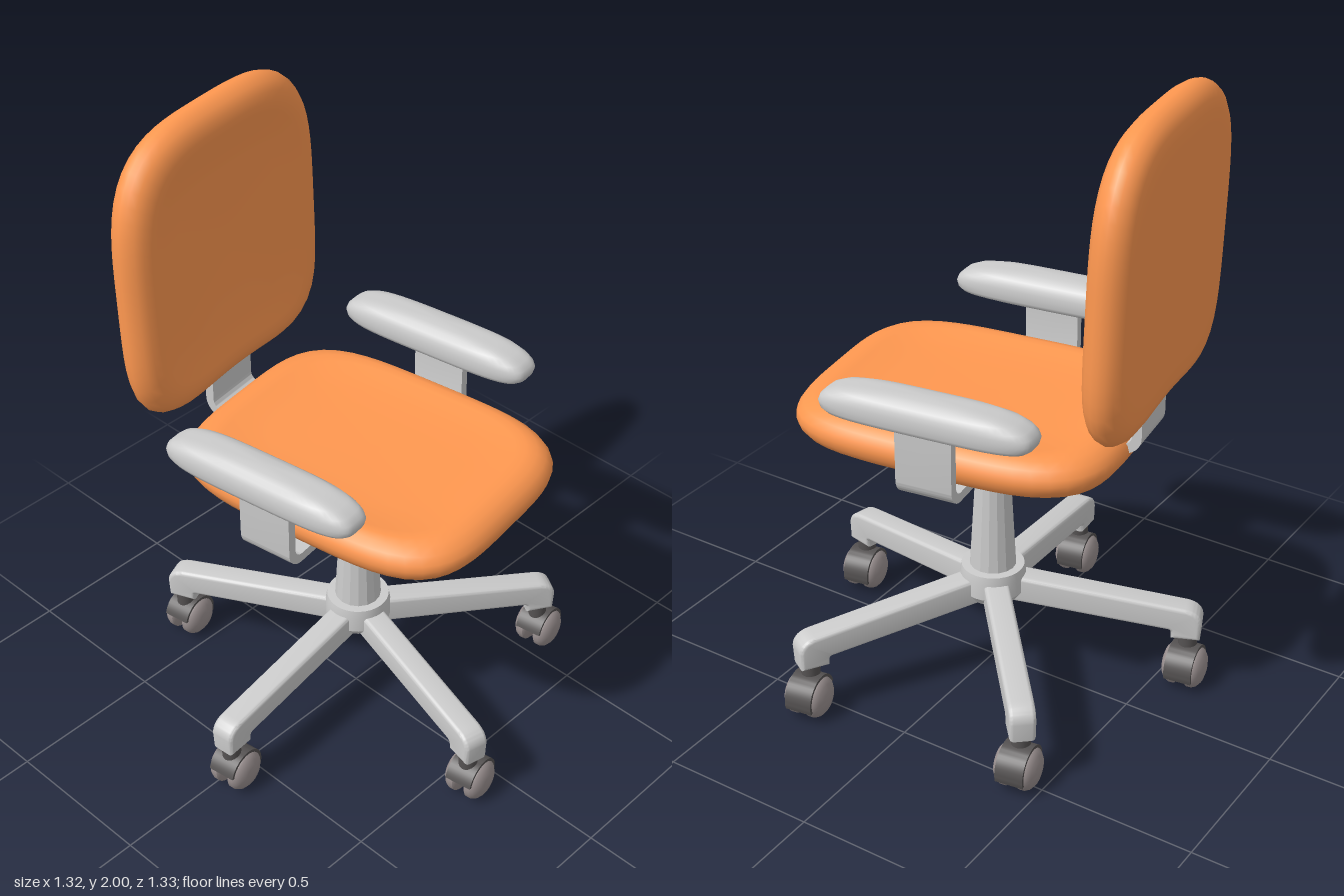
import * as THREE from 'three';
import { mergeVertices, toCreasedNormals } from 'three/addons/utils/BufferGeometryUtils.js';

const mat = (color, extra = {}) => new THREE.MeshStandardMaterial({ color, ...extra });
const grey = mat(0xcccccc), orange = mat(0xff9850), dark = mat(0x555252), wheelGrey = mat(0x9a9090);

function add(parent, name, geometry, material, x = 0, y = 0, z = 0) {
  const mesh = new THREE.Mesh(geometry, material);
  mesh.name = name;
  mesh.position.set(x, y, z);
  parent.add(mesh);
  return mesh;
}

// Padded form: a superelliptic outline in xy, scaled by each [scale, z] of the profile from front to back
function padded(a, b, profile, nTop = 4, nBottom = 4, notch = 0) {
  const seg = 72, pos = [], index = [];
  profile.forEach(([s, z]) => {
    for (let j = 0; j < seg; j++) {
      const t = (j / seg) * Math.PI * 2, c = Math.cos(t), d = Math.sin(t);
      const n = d > 0 ? nTop : nBottom;
      const r = (Math.abs(c) ** n + Math.abs(d) ** n) ** (-1 / n);
      const lift = d < 0 ? 1 - notch * Math.max(0, 1 - (c * r) ** 2) ** 4 : 1;
      pos.push(a * c * r * s, b * d * r * s * lift, z);
    }
  });
  for (let i = 0; i < profile.length - 1; i++) {
    for (let j = 0; j < seg; j++) {
      const k = (j + 1) % seg, p = i * seg, q = p + seg;
      index.push(p + j, q + j, p + k, q + j, q + k, p + k);
    }
  }
  let g = new THREE.BufferGeometry();
  g.setAttribute('position', new THREE.Float32BufferAttribute(pos, 3));
  g.setIndex(index);
  g = mergeVertices(g);
  g.computeVertexNormals();
  return g;
}

function extrude(shape, depth, bevel = 0) {
  const g = new THREE.ExtrudeGeometry(shape, {
    depth, curveSegments: 12, bevelEnabled: bevel > 0,
    bevelSize: bevel, bevelThickness: bevel, bevelSegments: 4,
  });
  g.translate(0, 0, -depth / 2);
  return toCreasedNormals(g, 0.6);
}

// Flat strip bent upward through a rounded corner
function bentStrip(inner, outer, bottom, top, width) {
  const t = 0.03, r = 0.06, s = new THREE.Shape();
  s.moveTo(inner, bottom);
  s.lineTo(outer - r, bottom);
  s.absarc(outer - r, bottom + r, r, -Math.PI / 2, 0, false);
  s.lineTo(outer, top);
  s.lineTo(outer - t, top);
  s.lineTo(outer - t, bottom + r);
  s.absarc(outer - r, bottom + r, r - t, 0, -Math.PI / 2, true);
  s.lineTo(inner, bottom + t);
  s.closePath();
  return extrude(s, width);
}

// Side profile of a base leg, turned down at the tip
function legGeometry() {
  const s = new THREE.Shape();
  s.moveTo(0, 0.275);
  s.lineTo(0.57, 0.217);
  s.quadraticCurveTo(0.588, 0.213, 0.588, 0.187);
  s.lineTo(0.655, 0.187);
  s.lineTo(0.658, 0.235);
  s.quadraticCurveTo(0.656, 0.266, 0.615, 0.272);
  s.lineTo(0.1, 0.33);
  s.lineTo(0, 0.335);
  s.closePath();
  return extrude(s, 0.055, 0.013);
}

function caster() {
  const g = new THREE.Group();
  g.name = 'caster';
  add(g, 'casterStem', new THREE.CylinderGeometry(0.03, 0.03, 0.07, 20), dark, 0, 0.15, 0);
  const axle = add(g, 'axle', new THREE.CylinderGeometry(0.03, 0.03, 0.06, 16), dark, 0.015, 0.08, 0);
  axle.rotation.x = Math.PI / 2;
  // Hood wrapped over both wheels
  const hood = new THREE.Shape();
  hood.absarc(0, 0, 0.074, -0.35, 2.9, false);
  hood.absarc(0, 0, 0.05, 2.9, -0.35, true);
  hood.closePath();
  add(g, 'casterHood', extrude(hood, 0.09), dark, 0.015, 0.068, 0);
  // Domed twin wheels
  const pts = [[0, 0.015], [0.06, 0.015], [0.068, 0.022], [0.068, 0.038], [0.062, 0.05],
    [0.048, 0.061], [0.025, 0.068], [0, 0.07]].map(p => new THREE.Vector2(...p));
  const wheel = toCreasedNormals(new THREE.LatheGeometry(pts, 28), 0.8);
  for (const side of [1, -1]) {
    add(g, 'wheel', wheel, wheelGrey, 0.015, 0.068, 0).rotation.x = side * Math.PI / 2;
  }
  return g;
}

export function createModel() {
  const model = new THREE.Group();
  model.name = 'officeChair';
  const chair = new THREE.Group();
  chair.name = 'chair';
  chair.position.set(0.022, 0, -0.013);
  model.add(chair);
  const turn = 0.14;

  // Five-legged base with casters
  const leg = legGeometry();
  for (let i = 0; i < 5; i++) {
    const a = THREE.MathUtils.degToRad(175.2 + 72 * i);
    add(chair, 'leg', leg, grey).rotation.y = -a;
    const c = caster();
    c.position.set(Math.cos(a) * 0.627, 0, Math.sin(a) * 0.627);
    c.rotation.y = turn;
    chair.add(c);
  }
  const hub = [[0, 0.262], [0.085, 0.262], [0.105, 0.29], [0.105, 0.345], [0.1, 0.372], [0, 0.376]]
    .map(p => new THREE.Vector2(...p));
  add(chair, 'hub', toCreasedNormals(new THREE.LatheGeometry(hub, 32), 0.6), grey);
  add(chair, 'column', new THREE.CylinderGeometry(0.047, 0.075, 0.49, 16),
    mat(0xcccccc, { flatShading: true }), 0, 0.605, 0);

  // Swivelling upper part
  const upper = new THREE.Group();
  upper.name = 'upperPart';
  upper.rotation.y = turn;
  chair.add(upper);
  const cushion = [[0, 0.048], [0.3, 0.048], [0.55, 0.05], [0.7, 0.055], [0.79, 0.063], [0.85, 0.065],
    [0.91, 0.059], [0.96, 0.042], [0.99, 0.02], [1, 0], [0.99, -0.022], [0.96, -0.043], [0.91, -0.058],
    [0.85, -0.064], [0.75, -0.065], [0.4, -0.065], [0, -0.065]];
  add(upper, 'seat', padded(0.41, 0.518, cushion), orange, 0.008, 0.935, 0.035).rotation.x = -Math.PI / 2;
  add(upper, 'seatPlate', new THREE.BoxGeometry(0.208, 0.04, 0.208), orange, 0, 0.86, 0.03);

  // Backrest with dished front, and its support
  const dished = cushion.map(([s, z]) => [s, z > 0.045 && s < 0.8 ? z - 0.012 * (1 - s / 0.8) : z]);
  add(upper, 'backrest', padded(0.435, 0.475, dished, 3.4, 4.8, 0.04), orange, 0, 1.525, -0.517).rotation.x = -0.03;
  add(upper, 'backSupport', bentStrip(0.36, 0.52, 0.93, 1.12, 0.19), grey).rotation.y = Math.PI / 2;

  // Armrests
  const pad = padded(0.078, 0.338, [[0, 0.05], [0.4, 0.048], [0.65, 0.042], [0.83, 0.03], [0.93, 0.015],
    [0.98, 0], [1, -0.017], [0.985, -0.035], [0.94, -0.046], [0.8, -0.053], [0, -0.055]]);
  const bracket = bentStrip(0.31, 0.468, 0.84, 1.1, 0.18);
  for (const side of [1, -1]) {
    const arm = new THREE.Group();
    arm.name = side > 0 ? 'leftArm' : 'rightArm';
    arm.rotation.y = side > 0 ? 0 : Math.PI;
    add(arm, 'armBracket', bracket, grey);
    add(arm, 'armPad', pad, grey, 0.45, 1.136, -0.01 * side).rotation.x = -Math.PI / 2;
    upper.add(arm);
  }
  return model;
}
